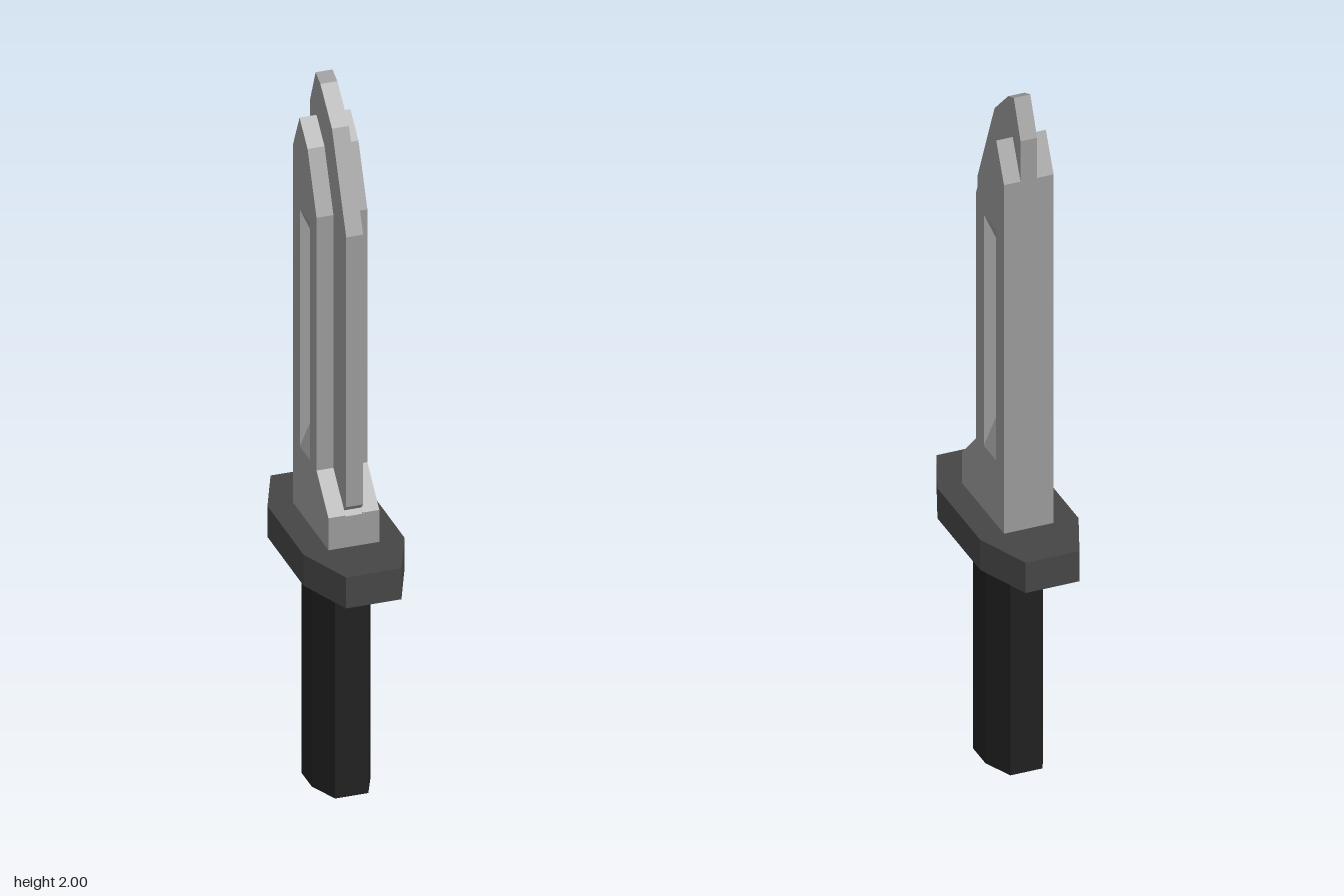
import * as THREE from 'three';

const steel = new THREE.MeshStandardMaterial({ color: 0x999999 });
steel.name = 'steel grey';
const darkMetal = new THREE.MeshStandardMaterial({ color: 0x454545 });
darkMetal.name = 'dark guard grey';
const grip = new THREE.MeshStandardMaterial({ color: 0x202020 });
grip.name = 'grip black';

const toPoints = (pairs) => pairs.map(([a, b]) => new THREE.Vector2(a, b));

function extrude(pairs, depth, hole) {
  const shape = new THREE.Shape(toPoints(pairs));
  if (hole) shape.holes.push(new THREE.Path(toPoints(hole)));
  return new THREE.ExtrudeGeometry(shape, { depth, bevelEnabled: false });
}

// Side profile given as (z, y), filling x0..x1
const sideSlab = (pairs, x0, x1, hole) =>
  extrude(pairs, x1 - x0, hole).rotateY(-Math.PI / 2).translate(x1, 0, 0);

// Upright eight-sided prism: flat ends of half width endX, flat sides of half length sideZ
function octagonPrism(halfX, endX, halfZ, sideZ, y0, y1) {
  const outline = [
    [halfX, -sideZ], [halfX, sideZ], [endX, halfZ], [-endX, halfZ],
    [-halfX, sideZ], [-halfX, -sideZ], [-endX, -halfZ], [endX, -halfZ],
  ];
  return extrude(outline, y1 - y0).rotateX(-Math.PI / 2).translate(0, y0, 0);
}

export function createModel() {
  const model = new THREE.Group();
  model.name = 'knife';
  const add = (name, geometry, material) => {
    const mesh = new THREE.Mesh(geometry, material);
    mesh.name = name;
    model.add(mesh);
  };

  // Grip and cross guard
  add('handle', octagonPrism(0.08, 0.045, 0.121, 0.04, 0, 0.645), grip);
  add('guard', octagonPrism(0.137, 0.075, 0.291, 0.139, 0.645, 0.735), darkMetal);

  // Thin central blade with the cutting edge and a small notch at its foot
  const inner = 0.023, outer = 0.069;
  add('blade', sideSlab([
    [-0.136, 0.735], [0.138, 0.735], [0.138, 0.825], [0.128, 0.838], [0.144, 0.855],
    [0.144, 1.64], [0.034, 1.9], [-0.055, 1.985], [-0.092, 2], [-0.136, 1.895],
  ], -inner, inner), steel);

  // Thick cheeks on both sides, each with a groove that has sloping ends
  const cheek = [
    [-0.136, 0.735], [0.138, 0.735], [0.138, 0.828], [0.046, 0.92],
    [0.046, 1.655], [-0.023, 1.82], [-0.085, 1.88], [-0.136, 1.775],
  ];
  const z0 = -0.083, z1 = -0.004, low = 0.925, high = 1.615, slope = 0.105;
  const groove = [[z0, low], [z0, high], [z1, high], [z1, low]];
  for (const [side, s] of [['left', 1], ['right', -1]]) {
    const x0 = s > 0 ? inner : -outer;
    add(side + 'Cheek', sideSlab(cheek, x0, x0 + outer - inner, groove), steel);
    for (const [end, y, dy] of [['Top', high, -slope], ['Bottom', low, slope]]) {
      const wedge = [[s * inner, y], [s * outer, y], [s * inner, y + dy]];
      add(side + 'Groove' + end, extrude(wedge, z1 - z0).translate(0, 0, z0), steel);
    }
  }
  return model;
}
